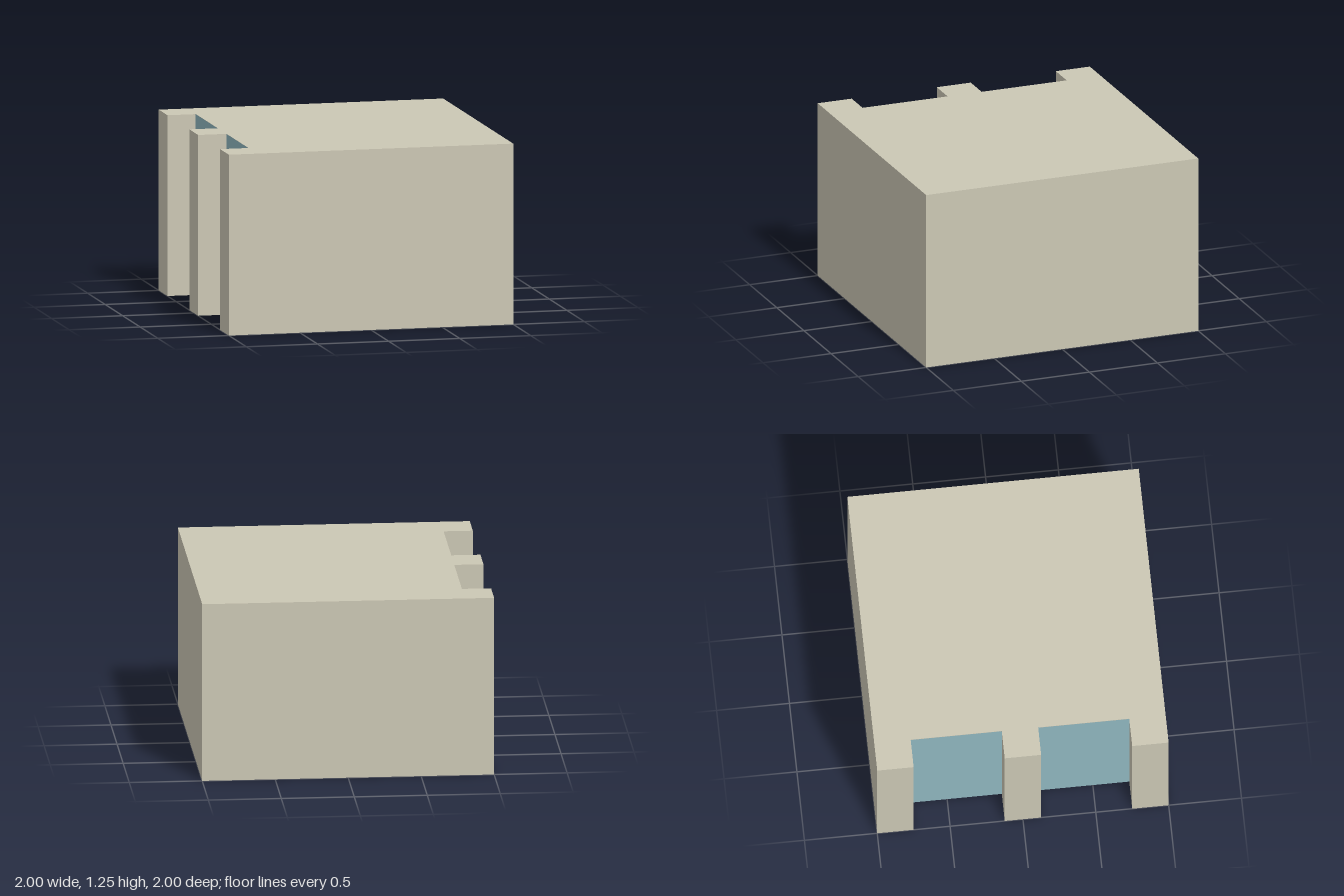
import * as THREE from 'three';

const HEIGHT = 1.25;
const RECESS_X = -0.8; // back of the recesses in the right wall
const RECESSES = [[-0.75, -0.125], [0.125, 0.75]]; // z ranges

export function createModel() {
  const model = new THREE.Group();
  model.name = 'buildingBlock';
  const wallMaterial = new THREE.MeshStandardMaterial({ color: 0xcbc7b4 });
  const glassMaterial = new THREE.MeshStandardMaterial({ color: 0x8fb6bf });

  // Floor plan: a square with two full-height recesses leaving three piers
  const plan = new THREE.Shape();
  plan.moveTo(1, -1);
  plan.lineTo(1, 1);
  plan.lineTo(-1, 1);
  for (const [near, far] of [...RECESSES].reverse()) {
    plan.lineTo(-1, far);
    plan.lineTo(RECESS_X, far);
    plan.lineTo(RECESS_X, near);
    plan.lineTo(-1, near);
  }
  plan.lineTo(-1, -1);
  plan.closePath();

  const bodyGeometry = new THREE.ExtrudeGeometry(plan, { depth: HEIGHT, bevelEnabled: false });
  bodyGeometry.rotateX(-Math.PI / 2);
  const body = new THREE.Mesh(bodyGeometry, wallMaterial);
  body.name = 'body';
  model.add(body);

  // Glass covering the back of each recess
  RECESSES.forEach(([near, far], i) => {
    const glass = new THREE.Mesh(new THREE.PlaneGeometry(far - near, HEIGHT), glassMaterial);
    glass.name = `windowPanel${i + 1}`;
    glass.rotation.y = -Math.PI / 2;
    glass.position.set(RECESS_X - 0.002, HEIGHT / 2, (near + far) / 2);
    model.add(glass);
  });

  return model;
}
